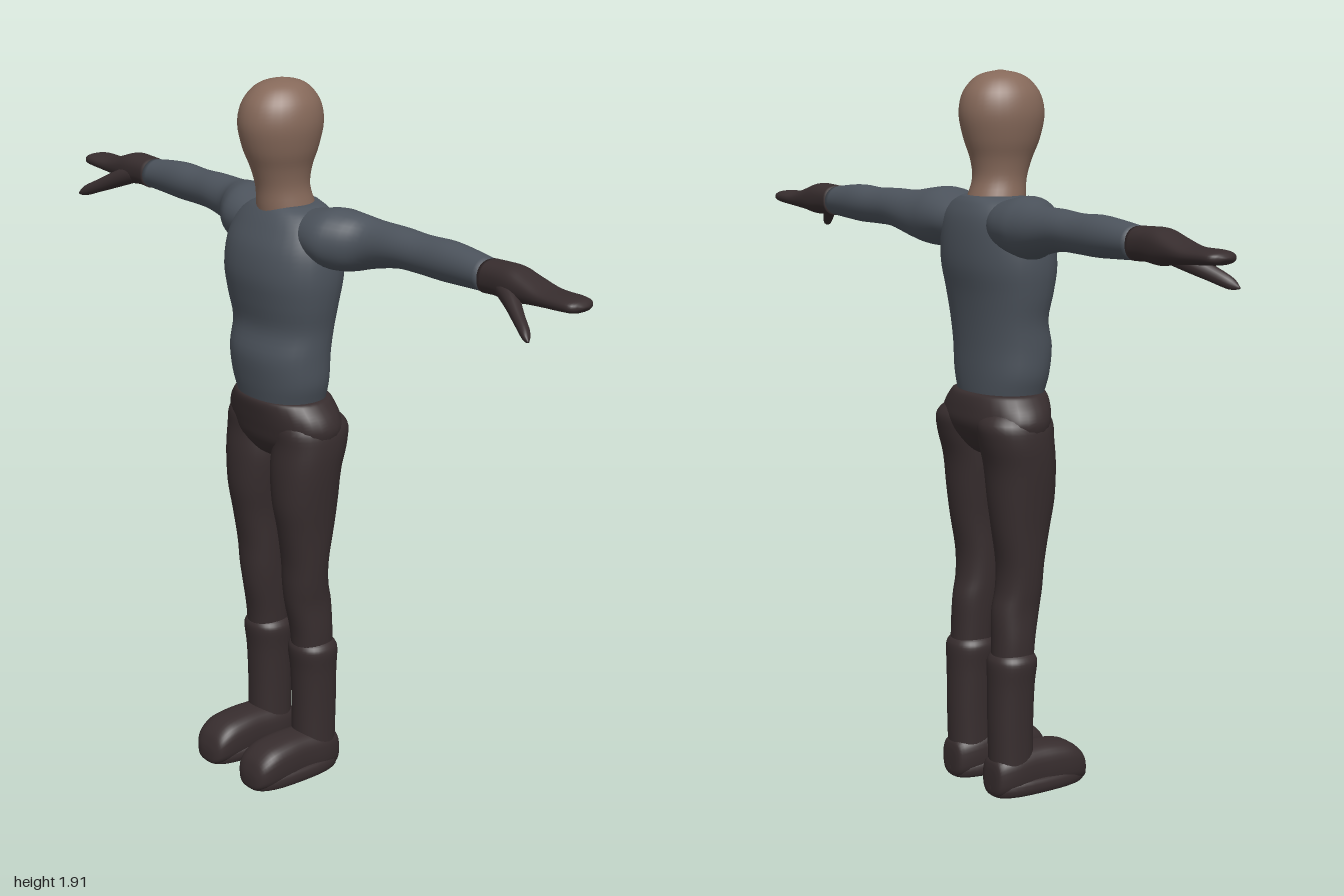
import * as THREE from 'three';

const mat = (name, color) => Object.assign(new THREE.MeshStandardMaterial({ color }), { name });

// Smooth closed loft along an axis (0 = x, 1 = y, 2 = z).
// Each section: [position on axis, centre a, centre b, radius a, radius b],
// where a and b are the next two axes in cyclic order.
function loft(axis, sections, { power = 2, sides = 32, steps = 4 } = {}) {
  const a = (axis + 1) % 3, b = (axis + 2) % 3;
  const spline = (f) => new THREE.CatmullRomCurve3(
    sections.map((s) => new THREE.Vector3(...f(s))), false, 'catmullrom', 0.5);
  const centres = spline((s) => [s[0], s[1], s[2]]);
  const radii = spline((s) => [s[3], s[4], 0]);
  const rings = (sections.length - 1) * steps;
  const pos = [], index = [];
  const put = (t, u, v) => {
    const p = [0, 0, 0];
    p[axis] = t; p[a] = u; p[b] = v;
    pos.push(...p);
    return pos.length / 3 - 1;
  };
  const bend = (v) => Math.sign(v) * Math.abs(v) ** (2 / power);
  for (let i = 0; i <= rings; i++) {
    const c = centres.getPoint(i / rings), r = radii.getPoint(i / rings);
    for (let j = 0; j < sides; j++) {
      const w = (j / sides) * Math.PI * 2;
      put(c.x, c.y + Math.max(r.x, 0.001) * bend(Math.cos(w)), c.z + Math.max(r.y, 0.001) * bend(Math.sin(w)));
    }
  }
  const first = sections[0], last = sections[sections.length - 1];
  const start = put(first[0], first[1], first[2]), end = put(last[0], last[1], last[2]);
  for (let j = 0; j < sides; j++) {
    const k = (j + 1) % sides, top = rings * sides;
    for (let i = 0; i < rings; i++) {
      const p = i * sides, q = p + sides;
      index.push(p + j, p + k, q + k, p + j, q + k, q + j);
    }
    index.push(start, k, j, end, top + j, top + k);
  }
  const g = new THREE.BufferGeometry();
  g.setAttribute('position', new THREE.Float32BufferAttribute(pos, 3));
  g.setIndex(index);
  g.computeVertexNormals();
  return g;
}

// Mirrored copy across x with the corner order restored
function mirrored(geometry) {
  const g = geometry.clone();
  g.scale(-1, 1, 1);
  g.setIndex(Array.from(g.index.array).reverse());
  g.computeVertexNormals();
  return g;
}

export function createModel() {
  const model = new THREE.Group();
  const skin = mat('skin', 0x86695a);
  const shirt = mat('shirt', 0x4c535c);
  const dark = mat('darkBrown', 0x372d2e);

  const add = (name, geometry, material) => {
    const mesh = new THREE.Mesh(geometry, material);
    mesh.name = name;
    model.add(mesh);
  };
  const addPair = (name, geometry, material) => {
    add('left' + name, geometry, material);
    add('right' + name, mirrored(geometry), material);
  };

  // Head and neck (sections run up y: y, z, x, depth, width)
  add('head', loft(1, [
    [1.53, -0.05, 0, 0.08, 0.082], [1.58, -0.04, 0, 0.077, 0.075], [1.63, -0.03, 0, 0.072, 0.067],
    [1.68, -0.025, 0, 0.083, 0.074], [1.73, -0.023, 0, 0.102, 0.09], [1.79, -0.023, 0, 0.115, 0.1],
    [1.84, -0.024, 0, 0.107, 0.093], [1.875, -0.025, 0, 0.083, 0.072], [1.895, -0.026, 0, 0.052, 0.045],
    [1.905, -0.027, 0, 0.004, 0.004],
  ]), skin);

  // Shirt body
  add('torso', loft(1, [
    [1.05, -0.028, 0, 0.092, 0.126], [1.08, -0.027, 0, 0.098, 0.135], [1.13, -0.024, 0, 0.104, 0.15],
    [1.2, -0.022, 0, 0.108, 0.155], [1.27, -0.032, 0, 0.103, 0.16], [1.34, -0.031, 0, 0.113, 0.175],
    [1.41, -0.033, 0, 0.124, 0.185], [1.48, -0.038, 0, 0.12, 0.182], [1.535, -0.047, 0, 0.105, 0.165],
    [1.57, -0.05, 0, 0.088, 0.125], [1.588, -0.05, 0, 0.074, 0.078],
  ], { power: 2.2 }), shirt);

  // Sleeves (sections run out along x: x, y, z, height, depth)
  addPair('Sleeve', loft(0, [
    [0.06, 1.52, -0.06, 0.055, 0.06], [0.12, 1.52, -0.062, 0.067, 0.085], [0.18, 1.52, -0.066, 0.078, 0.092],
    [0.23, 1.518, -0.08, 0.075, 0.08], [0.29, 1.521, -0.101, 0.062, 0.06], [0.38, 1.53, -0.106, 0.052, 0.053],
    [0.46, 1.529, -0.11, 0.049, 0.05], [0.54, 1.53, -0.112, 0.051, 0.05], [0.61, 1.529, -0.112, 0.047, 0.047],
    [0.69, 1.526, -0.11, 0.04, 0.043],
  ]), shirt);

  // Mitten-like gloves with a splayed thumb
  addPair('Glove', loft(0, [
    [0.688, 1.526, -0.11, 0.041, 0.044], [0.73, 1.528, -0.11, 0.041, 0.044], [0.78, 1.526, -0.11, 0.043, 0.046],
    [0.83, 1.522, -0.111, 0.032, 0.046], [0.89, 1.517, -0.112, 0.021, 0.045], [0.96, 1.519, -0.111, 0.018, 0.044],
    [0.988, 1.519, -0.11, 0.014, 0.036], [1, 1.519, -0.11, 0.003, 0.01],
  ], { power: 2.4 }), dark);
  addPair('Thumb', loft(0, [
    [0.74, 1.52, -0.095, 0.025, 0.025], [0.8, 1.499, -0.072, 0.026, 0.024], [0.86, 1.471, -0.042, 0.02, 0.018],
    [0.905, 1.45, -0.02, 0.015, 0.014], [0.925, 1.44, -0.009, 0.003, 0.003],
  ], { sides: 16 }), dark);

  // Hips and waistband
  add('hips', loft(1, [
    [0.9, -0.035, 0, 0.02, 0.015], [0.92, -0.035, 0, 0.065, 0.08], [0.96, -0.038, 0, 0.094, 0.165],
    [1.0, -0.042, 0, 0.107, 0.188], [1.035, -0.038, 0, 0.109, 0.18], [1.065, -0.033, 0, 0.108, 0.157],
    [1.078, -0.031, 0, 0.102, 0.143], [1.08, -0.03, 0, 0.088, 0.125],
  ], { power: 2.2 }), dark);

  // Trouser legs
  addPair('Leg', loft(1, [
    [0.34, -0.058, 0.098, 0.056, 0.05], [0.42, -0.054, 0.097, 0.058, 0.053], [0.5, -0.045, 0.093, 0.065, 0.054],
    [0.56, -0.035, 0.094, 0.062, 0.058], [0.63, -0.032, 0.096, 0.063, 0.062], [0.72, -0.032, 0.098, 0.078, 0.067],
    [0.8, -0.03, 0.097, 0.09, 0.077], [0.89, -0.033, 0.096, 0.094, 0.088], [0.96, -0.045, 0.098, 0.099, 0.09],
    [1.01, -0.048, 0.095, 0.1, 0.085], [1.05, -0.04, 0.085, 0.07, 0.06],
  ], { power: 2.2 }), dark);

  // Boot shafts with a slightly flared cuff
  addPair('BootShaft', loft(1, [
    [0.03, -0.064, 0.098, 0.058, 0.056], [0.1, -0.063, 0.098, 0.06, 0.055], [0.2, -0.064, 0.098, 0.061, 0.056],
    [0.3, -0.062, 0.098, 0.062, 0.06], [0.36, -0.059, 0.098, 0.065, 0.066], [0.38, -0.058, 0.098, 0.06, 0.06],
    [0.39, -0.058, 0.098, 0.05, 0.05],
  ], { power: 2.2 }), dark);

  // Boot feet (sections run forward along z: z, x, y, width, height)
  const foot = loft(2, [
    [-0.128, 0.097, 0.045, 0.025, 0.03], [-0.118, 0.097, 0.052, 0.046, 0.052], [-0.07, 0.097, 0.06, 0.06, 0.06],
    [0, 0.097, 0.063, 0.06, 0.063], [0.06, 0.097, 0.062, 0.063, 0.062], [0.11, 0.097, 0.057, 0.063, 0.057],
    [0.145, 0.096, 0.045, 0.055, 0.044], [0.16, 0.096, 0.032, 0.038, 0.028], [0.165, 0.096, 0.026, 0.015, 0.012],
  ], { power: 2.8 });
  addPair('BootFoot', foot, dark);

  // Thin wider soles
  addPair('BootSole', loft(1, [
    [0, 0.017, 0.097, 0.138, 0.055], [0.008, 0.018, 0.097, 0.145, 0.065], [0.03, 0.018, 0.097, 0.146, 0.067],
    [0.045, 0.018, 0.097, 0.135, 0.058],
  ], { power: 2.8, steps: 2 }), dark);

  return model;
}
